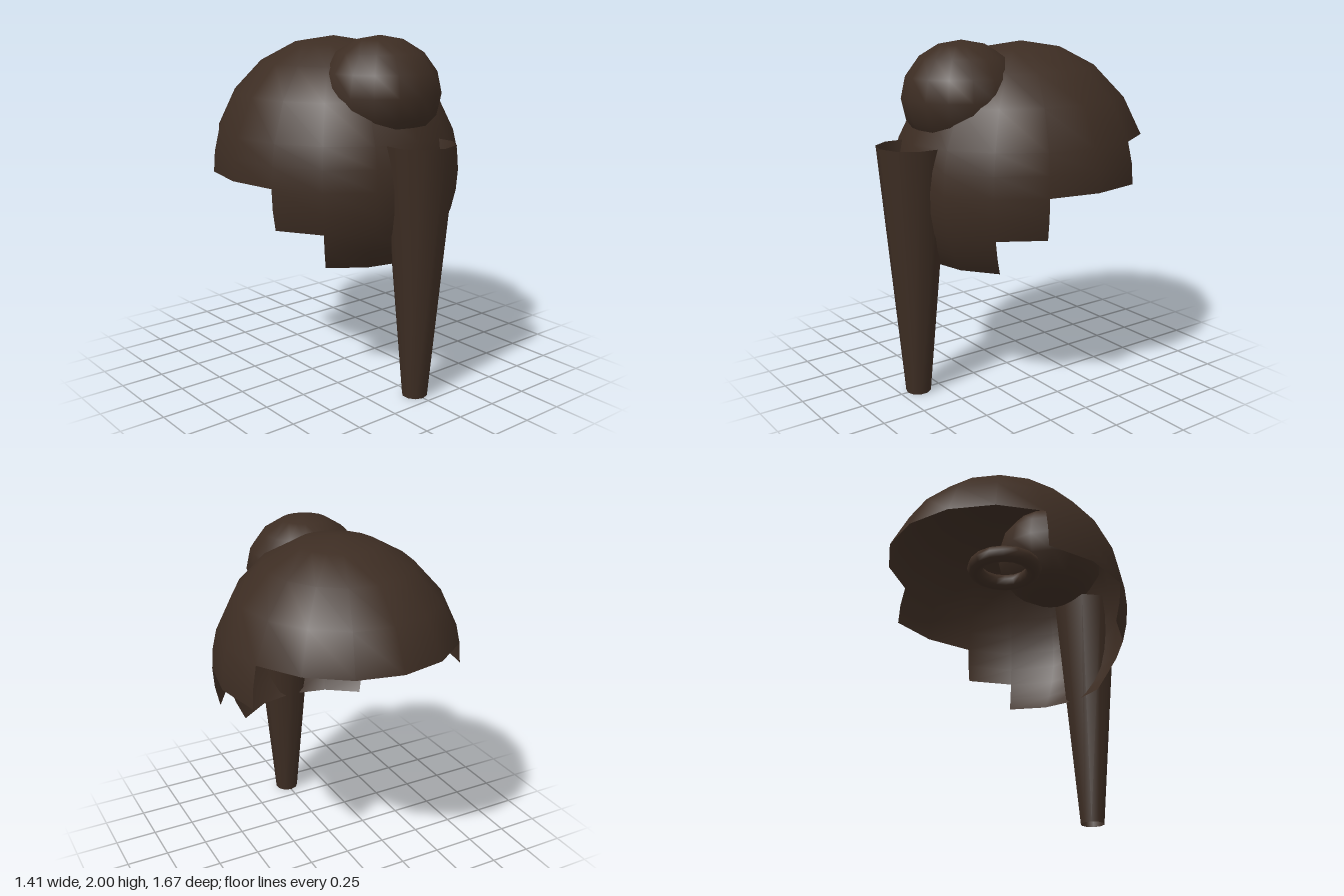
import * as THREE from 'three';
import { mergeGeometries } from 'three/addons/utils/BufferGeometryUtils.js';

const STEP = Math.PI / 8;    // 16 segments around the shell
const RING = Math.PI / 10;   // 10 rings from pole to pole

// Band of the unit sphere, centred on the front (+z)
function band(firstRing, rings, segments) {
  return new THREE.SphereGeometry(
    1, segments, rings,
    Math.PI / 2 - (segments * STEP) / 2, segments * STEP,
    firstRing * RING, rings * RING
  );
}

export function createModel() {
  const group = new THREE.Group();
  const hair = new THREE.MeshStandardMaterial({ color: 0x3d2d23, side: THREE.DoubleSide });
  hair.name = 'dark brown hair';

  function add(name, geometry, x, y, z) {
    const mesh = new THREE.Mesh(geometry, hair);
    mesh.name = name;
    mesh.position.set(x, y, z);
    group.add(mesh);
    return mesh;
  }

  // Open cap: full dome, then bands that step in toward the front
  const cap = mergeGeometries([
    band(0, 4, 16),
    band(4, 1, 10),
    band(5, 1, 6),
    band(6, 1, 4),
  ]);
  cap.scale(0.707, 0.77, 0.77);
  add('hairCap', cap, 0, 1.21, -0.1);

  // Rounded bun on the upper front
  const bun = new THREE.SphereGeometry(0.342, 16, 8);
  bun.scale(1, 0.915, 1);
  add('bun', bun, 0, 1.687, 0.31);

  // Long tapered lock, open at the ends
  add('longLock', new THREE.CylinderGeometry(0.2, 0.072, 1.445, 10, 1, true), 0, 0.7225, 0.637);

  // Ring inside the cap
  const ring = new THREE.TorusGeometry(0.18, 0.05, 8, 16);
  ring.rotateX(Math.PI / 2);
  add('hairTie', ring, 0, 1.45, -0.1);

  return group;
}
